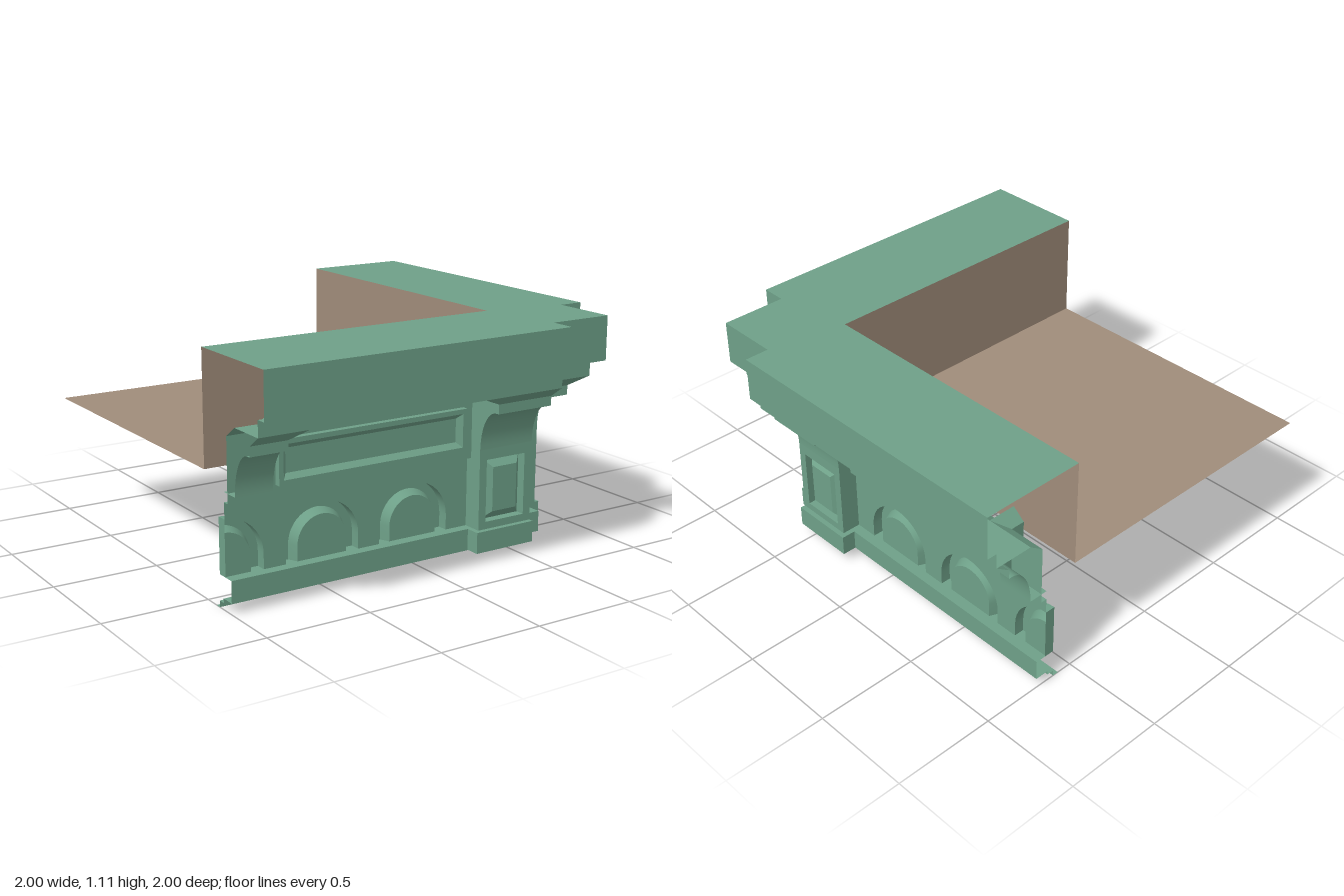
import * as THREE from 'three';
import { toCreasedNormals } from 'three/addons/utils/BufferGeometryUtils.js';

const green = new THREE.MeshStandardMaterial({ color: 0x6ea088, side: THREE.DoubleSide });
const brown = new THREE.MeshStandardMaterial({ color: 0xa08c7a, side: THREE.DoubleSide });
const BACK = 0.62; // plane that the pier returns run back to
const ARCH_FOOT = 0.15;

function fromPositions(pos) {
  const g = new THREE.BufferGeometry();
  g.setAttribute('position', new THREE.Float32BufferAttribute(pos, 3));
  return g;
}

function quad(pos, a, b, c, d) {
  for (const p of [a, b, c, a, c, d]) pos.push(...p);
}

// Sweep a profile of [offset, height] rows along a plan path: path(offset) -> [[x, z], ...]
function sweep(rows, path) {
  const pos = [];
  const lines = rows.map(([p, y]) => path(p).map(([x, z]) => [x, y, z]));
  for (let i = 0; i < lines.length - 1; i++)
    for (let j = 0; j < lines[i].length - 1; j++)
      quad(pos, lines[i][j], lines[i + 1][j], lines[i + 1][j + 1], lines[i][j + 1]);
  return fromPositions(pos);
}

// Flat face in the xy plane at depth z, with optional holes
function face(points, z, holes = []) {
  const v = (list) => list.map(([x, y]) => new THREE.Vector2(x, y));
  const shape = new THREE.Shape(v(points));
  shape.holes = holes.map((h) => new THREE.Path(v(h)));
  return new THREE.ShapeGeometry(shape).translate(0, 0, z).toNonIndexed();
}

// Nested outlines [points, z] joined from outside to inside, the last one capped
function nested(loops) {
  const pos = [];
  for (let i = 0; i < loops.length - 1; i++) {
    const [a, za] = loops[i], [b, zb] = loops[i + 1];
    a.forEach((_, j) => {
      const k = (j + 1) % a.length;
      quad(pos, [...a[j], za], [...a[k], za], [...b[k], zb], [...b[j], zb]);
    });
  }
  const [last, z] = loops[loops.length - 1];
  pos.push(...face(last, z).attributes.position.array);
  return fromPositions(pos);
}

// Swap x and z for the other wing, reversing the vertex order to keep faces outward
function swapped(g) {
  const src = g.attributes.position, pos = [];
  for (let i = src.count - 1; i >= 0; i--) pos.push(src.getZ(i), src.getY(i), src.getX(i));
  return fromPositions(pos);
}

const rect = (x0, y0, x1, y1, inset = 0) => [
  [x0 + inset, y0 + inset], [x1 - inset, y0 + inset],
  [x1 - inset, y1 - inset], [x0 + inset, y1 - inset]];

function arch(cx, r, half) {
  const pts = [[cx + r, ARCH_FOOT]], n = half ? 10 : 20;
  for (let i = 0; i <= n; i++) {
    const a = (i / 20) * Math.PI;
    pts.push([cx + r * Math.cos(a), 0.22 + r * Math.sin(a)]);
  }
  pts.push([half ? cx : cx - r, ARCH_FOOT]);
  return pts;
}

// Plan paths for half of the corner, ending on the diagonal
const straight = (x1) => (p) => [[-1, p], [x1, p]];
const mitred = (p) => [[-1, p], [p, p]];
const stepped = (p, notch) => [[0.56, p], [0.56, p - notch], [p - notch, p - notch]];
const corniceP = (p) => p < 0.6
  ? [[-1, p], [p, p], [p, p], [p, p]]
  : [[-1, p], ...stepped(p, 0.12)];
const flare = (p) => 0.86 * Math.max(0, p - 0.88);
const pierPath = (p) => {
  const x = 0.26 - flare(p);
  return [[x, BACK], [x, p], ...stepped(p, 0.12)];
};
const bracketPath = (p) => {
  const x = -0.82 + flare(p);
  return [[-1, p], [x, p], [x, BACK]];
};
const pierBasePath = (p) => [[0.235, BACK], [0.235, p], ...stepped(p, 0.1)];

// Bed moulding and cove shared by pier and end bracket
const coveRows = [[0.95, 0.82], [0.88, 0.77], [0.88, 0.725]];
for (let i = 0; i <= 12; i++) {
  const a = (i / 12) * Math.PI / 2;
  coveRows.push([0.865 - 0.11 * Math.sin(a), 0.725 - 0.195 * (1 - Math.cos(a))]);
}

export function createModel() {
  const model = new THREE.Group();
  model.name = 'cornerCornice';
  const wings = ['front', 'side'].map((n) => {
    const g = new THREE.Group();
    g.name = n + 'Wing';
    model.add(g);
    return g;
  });
  function add(name, geometry, material = green) {
    [geometry, swapped(geometry)].forEach((g, i) => {
      const m = new THREE.Mesh(toCreasedNormals(g, 0.5), material);
      m.name = name;
      wings[i].add(m);
    });
  }

  // Parapet slab and fascia
  add('cornice', sweep([[0.49, 1.105], [1, 1.105], [1, 0.895], [0.95, 0.895], [0.95, 0.82]], corniceP));

  // Corner pier with a sunk panel holding a raised block
  add('pierCove', sweep(coveRows, pierPath));
  const shaft = [[0.755, 0.53], [0.755, 0.15]];
  add('pierInnerSide', sweep(shaft, (p) => pierPath(p).slice(0, 2)));
  add('pierCorner', sweep(shaft, (p) => pierPath(p).slice(2)));
  const block = [0.3, 0.185, 0.52, 0.48];
  add('pierFace', face(rect(0.26, 0.15, 0.56, 0.53), 0.755, [rect(...block)]));
  add('pierPanel', nested([[rect(...block), 0.755], [rect(...block), 0.71], [rect(...block, 0.042), 0.75]]));
  add('pierBase', sweep([[0.7, 0.15], [0.78, 0.15], [0.78, 0.05], [0.7, 0.05]], pierBasePath));

  // Coved bracket at the open end
  add('endBracket', sweep([...coveRows, [0.755, 0.525], [0.66, 0.525]], bracketPath));

  // Recessed frieze with framed panel
  add('frieze', sweep([[0.95, 0.82], [0.76, 0.82], [0.69, 0.77], [0.69, 0.48], [0.66, 0.48]], straight(0.28)));
  const frame = [-0.77, 0.525, 0.21, 0.725];
  add('friezePanel', nested([
    [rect(...frame), 0.69], [rect(...frame), 0.72], [rect(...frame, 0.022), 0.72], [rect(...frame, 0.045), 0.695]]));

  // Arcaded wall: the outline skirts each arch, then the arches are filled
  const arches = [[-1, true], [-0.52, false], [-0.04, false]];
  const outline = [[0.3, 0.48], [-1, 0.48]];
  for (const [cx, half] of arches) {
    const pts = arch(cx, 0.185, half);
    if (half) pts.pop();
    outline.push(...pts.reverse());
  }
  outline.push([0.3, ARCH_FOOT]);
  add('arcadeWall', face(outline, 0.66));
  for (const [cx, half] of arches)
    add('blindArch', nested([
      [arch(cx, 0.185, half), 0.66], [arch(cx, 0.185, half), 0.61],
      [arch(cx, 0.145, half), 0.61], [arch(cx, 0.125, half), 0.655]]));

  // Wall plinth and the stepped foot beneath it
  add('plinth', sweep([[0.61, 0.15], [0.71, 0.15], [0.71, 0.05], [0.64, 0.05]], straight(0.3)));
  add('foot', sweep([[0.72 - 0.04, 0.05], [0.64, 0.05], [0.64, 0.03], [0.605, 0.03], [0.605, 0], [0.575, 0]], mitred));

  // Inner parapet wall and roof deck
  add('parapetLining', sweep([[0.49, 0.58], [0.49, 1.105]], mitred), brown);
  const deck = new THREE.Mesh(new THREE.PlaneGeometry(1.49, 1.49).rotateX(-Math.PI / 2), brown);
  deck.position.set(-0.255, 0.58, -0.255);
  deck.name = 'roofDeck';
  model.add(deck);
  return model;
}
